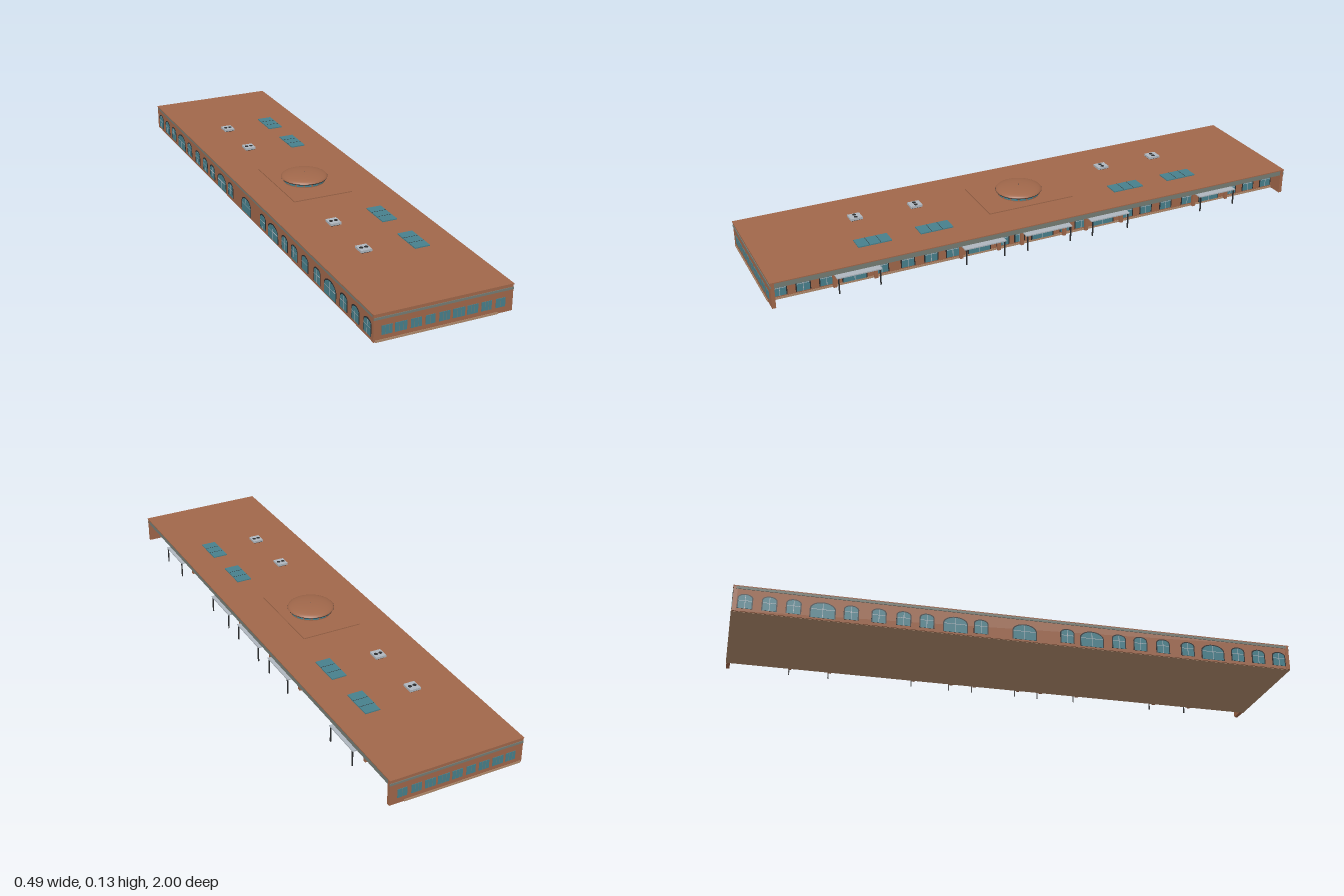
import * as THREE from 'three';

const mat = (name, color) => Object.assign(new THREE.MeshStandardMaterial({ color }), { name });

export function createModel() {
  const brick = mat('brick', 0xa0674a);
  const glass = mat('teal glass', 0x47808c);
  const fascia = mat('grey fascia', 0x757c74);
  const metal = mat('pale metal', 0xaeb6be);
  const stone = mat('tan stone', 0xb08a6c);
  const dark = mat('dark metal', 0x2b2c2e);

  const model = new THREE.Group();
  model.name = 'longHall';
  const add = (name, geo, m, x = 0, y = 0, z = 0, parent = model) => {
    const mesh = new THREE.Mesh(geo, m);
    mesh.name = name;
    mesh.position.set(x, y, z);
    parent.add(mesh);
    return mesh;
  };
  // box given by its min and max along each axis
  const box = (name, m, x0, x1, y0, y1, z0, z1, parent) =>
    add(name, new THREE.BoxGeometry(x1 - x0, y1 - y0, z1 - z0), m,
      (x0 + x1) / 2, (y0 + y1) / 2, (z0 + z1) / 2, parent);

  // shell: floor, recessed hall, roof and overhang
  box('floorSlab', stone, -0.236, 0.187, 0, 0.007, -1, 1);
  box('hallWalls', brick, -0.24, 0.185, 0.001, 0.092, -0.99, 0.99);
  box('roof', brick, -0.243, 0.24, 0.0915, 0.095, -1, 1);
  box('overhangFascia', fascia, 0.185, 0.238, 0.073, 0.0915, -0.99, 0.99);
  box('backGutter', fascia, -0.2425, -0.24, 0.083, 0.0915, -0.99, 0.99);

  // end walls with a cornice band and a row of windows
  const endWindows = [[-0.215, -0.179], [-0.17, -0.13], [-0.117, -0.08], [-0.067, -0.034],
    [-0.02, 0.017], [0.027, 0.069], [0.077, 0.115], [0.127, 0.163], [0.178, 0.212]];
  for (const s of [1, -1]) {
    const span = (a, b) => (s > 0 ? [a, b] : [-b, -a]);
    box('endWall', brick, -0.242, 0.239, 0.001, 0.0915, ...span(0.985, 0.998));
    box('endBand', fascia, -0.242, 0.24, 0.075, 0.083, ...span(0.996, 1));
    for (const [a, b] of endWindows) {
      box('endWindow', glass, a, b, 0.022, 0.053, ...span(0.997, 0.9995));
      const n = b - a > 0.035 ? 3 : 2;
      for (let i = 1; i < n; i++) {
        const x = a + (b - a) * i / n;
        box('endMullion', fascia, x - 0.0006, x + 0.0006, 0.022, 0.053, ...span(0.997, 1));
      }
    }
  }

  // arched plate standing in the long walls, facing +x or -x
  const arch = (w, h, depth) => {
    const r = w / 2, rise = r * 0.6, shape = new THREE.Shape();
    shape.moveTo(-r, 0);
    shape.lineTo(r, 0);
    shape.lineTo(r, h - rise);
    shape.absellipse(0, h - rise, r, rise, 0, Math.PI, false);
    shape.closePath();
    return new THREE.ExtrudeGeometry(shape, { depth, bevelEnabled: false, curveSegments: 10 });
  };
  const opening = (side, z, w, y, h) => {
    const g = new THREE.Group();
    g.name = w > 0.06 ? 'doorway' : 'archedWindow';
    g.position.set(side > 0 ? 0.185 : -0.24, y, z);
    g.rotation.y = side * Math.PI / 2;
    add('frame', arch(w + 0.008, h + 0.004, 0.0012), dark, 0, 0, 0, g);
    add('pane', arch(w, h, 0.0018), glass, 0, 0, 0, g);
    box('mullion', metal, -0.001, 0.001, 0, h - 0.001, 0, 0.0022, g);
    box('transom', metal, -w / 2, w / 2, h * 0.55, h * 0.55 + 0.002, 0, 0.0022, g);
    model.add(g);
  };
  const windowZ = [0.957, 0.877, 0.797, 0.604, 0.51, 0.425, 0.345, 0.155];
  const doorZ = [0.7, 0.245, 0, -0.245, -0.7];
  for (const side of [1, -1]) {
    for (const z of windowZ) for (const s of [1, -1]) opening(side, s * z, 0.044, 0.012, 0.05);
    for (const z of doorZ) opening(side, z, 0.08, 0.007, 0.055);
  }
  for (const s of [1, -1]) opening(1, s * 0.09, 0.034, 0.012, 0.05);

  // porch canopies under the overhang
  for (const z of doorZ) {
    const half = z === 0 ? 0.09 : 0.078;
    box('canopy', metal, 0.186, 0.243, 0.057, 0.061, z - half, z + half);
    for (const s of [1, -1]) {
      const zp = z + s * (half - 0.006);
      box('canopyPost', dark, 0.2385, 0.2425, 0, 0.057, zp - 0.002, zp + 0.002);
      box('porchPier', brick, 0.185, 0.197, 0.001, 0.057, zp - 0.006, zp + 0.006);
    }
  }

  // skylights and rooftop air units
  for (const z of [-0.605, -0.38, 0.38, 0.605]) {
    box('skylight', glass, 0.08, 0.135, 0.094, 0.099, z - 0.06, z + 0.06);
    for (const o of [-0.02, 0.02])
      box('skylightRib', dark, 0.08, 0.135, 0.0985, 0.0995, z + o - 0.0006, z + o + 0.0006);
    box('airUnit', metal, -0.096, -0.056, 0.098, 0.106, z - 0.022, z + 0.022);
    box('airUnitBase', dark, -0.092, -0.06, 0.094, 0.098, z - 0.019, z + 0.019);
    for (const o of [-0.009, 0.009])
      add('fan', new THREE.CylinderGeometry(0.007, 0.007, 0.001, 12), dark, -0.076 + o, 0.1063, z);
  }

  // dome on a low plinth with a glazed drum
  box('domePlinth', brick, -0.124, 0.1, 0.094, 0.0985, -0.165, 0.165);
  const dome = new THREE.Group();
  dome.name = 'dome';
  dome.position.set(-0.012, 0, 0);
  model.add(dome);
  add('drum', new THREE.CylinderGeometry(0.076, 0.076, 0.015, 48), brick, 0, 0.106, 0, dome);
  for (let i = 0; i < 16; i++) {
    const pane = new THREE.CylinderGeometry(0.0768, 0.0768, 0.009, 4, 1, true, i * Math.PI / 8, 0.32);
    add('drumWindow', pane, glass, 0, 0.106, 0, dome);
  }
  add('domeRim', new THREE.CylinderGeometry(0.085, 0.083, 0.003, 48), dark, 0, 0.1125, 0, dome);
  const profile = [];
  for (let i = 0; i <= 10; i++) {
    const a = i / 10 * Math.PI / 2;
    profile.push(new THREE.Vector2(0.0845 * Math.cos(a) + 1e-6, 0.114 + 0.0175 * Math.sin(a)));
  }
  add('domeShell', new THREE.LatheGeometry(profile, 48), brick, 0, 0, 0, dome);
  add('finial', new THREE.CylinderGeometry(0.001, 0.002, 0.002, 8), dark, 0, 0.132, 0, dome);

  return model;
}
